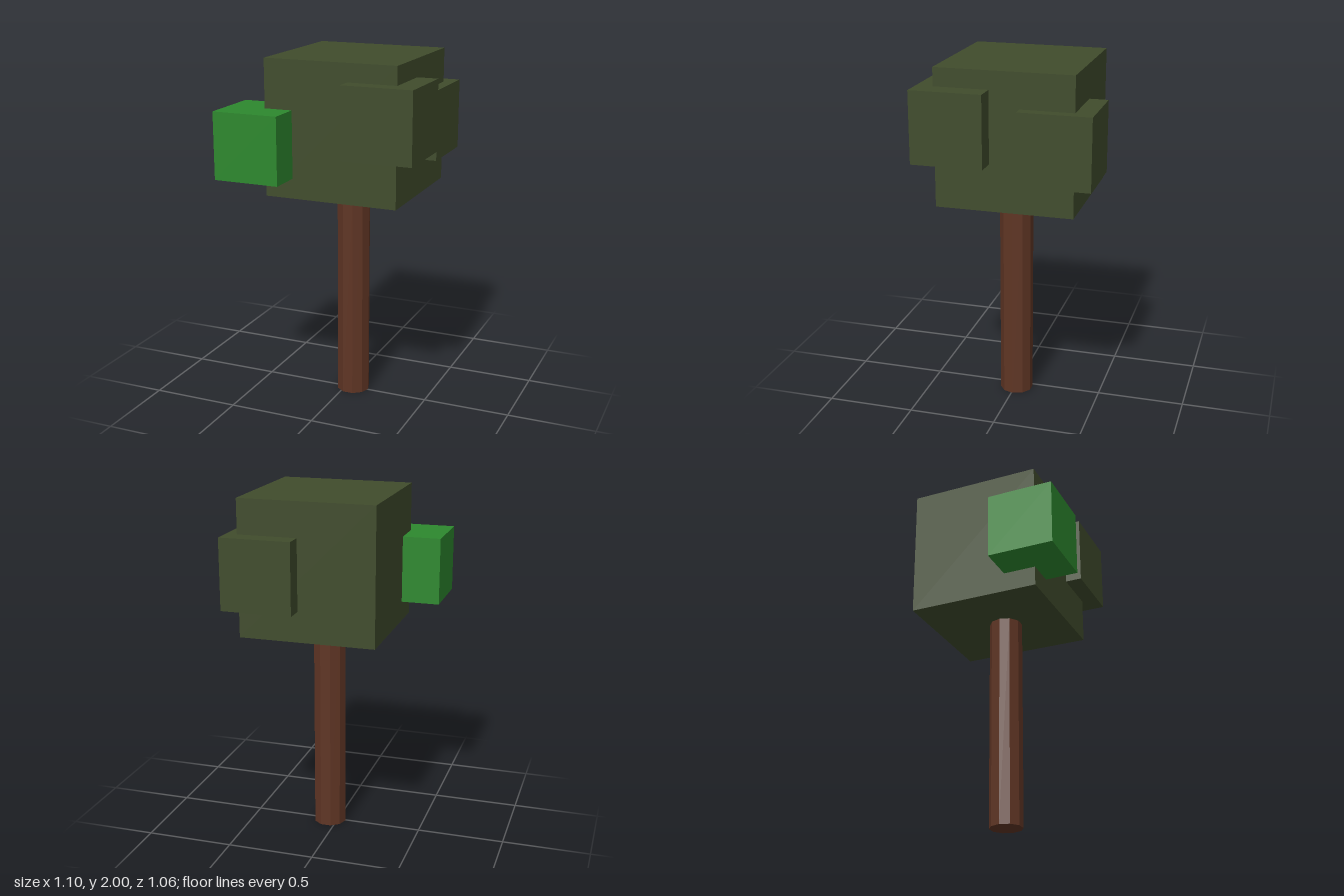
import * as THREE from 'three';

export function createModel() {
  const tree = new THREE.Group();
  tree.name = 'tree';

  const material = (name, color) => {
    const m = new THREE.MeshStandardMaterial({ color });
    m.name = name;
    return m;
  };
  const bark = material('bark brown', 0x5f3524);
  const olive = material('dark olive leaves', 0x404c2c);
  const green = material('bright green leaves', 0x2d882e);

  // Ten-sided trunk with a corner on the x axis; flat sides via split normals
  const trunkHeight = 1.231;
  const trunkShape = new THREE.CylinderGeometry(0.095, 0.095, trunkHeight, 10)
    .rotateY(Math.PI / 2)
    .toNonIndexed();
  trunkShape.computeVertexNormals();
  const trunk = new THREE.Mesh(trunkShape, bark);
  trunk.name = 'trunk';
  trunk.position.set(0.046, trunkHeight / 2, -0.007);
  tree.add(trunk);

  // Leaf cubes: name, edge length, centre, material
  const cubes = [
    ['crown', 0.763, [0.047, 1.6185, -0.043], olive],
    ['frontLeafCluster', 0.398, [0.349, 1.699, 0.234], olive],
    ['backLeafCluster', 0.398, [0.293, 1.607, -0.33], olive],
    ['sideLeafCluster', 0.377, [-0.3615, 1.538, 0.339], green],
  ];
  for (const [name, size, centre, leaves] of cubes) {
    const cube = new THREE.Mesh(new THREE.BoxGeometry(size, size, size), leaves);
    cube.name = name;
    cube.position.set(...centre);
    tree.add(cube);
  }

  return tree;
}
